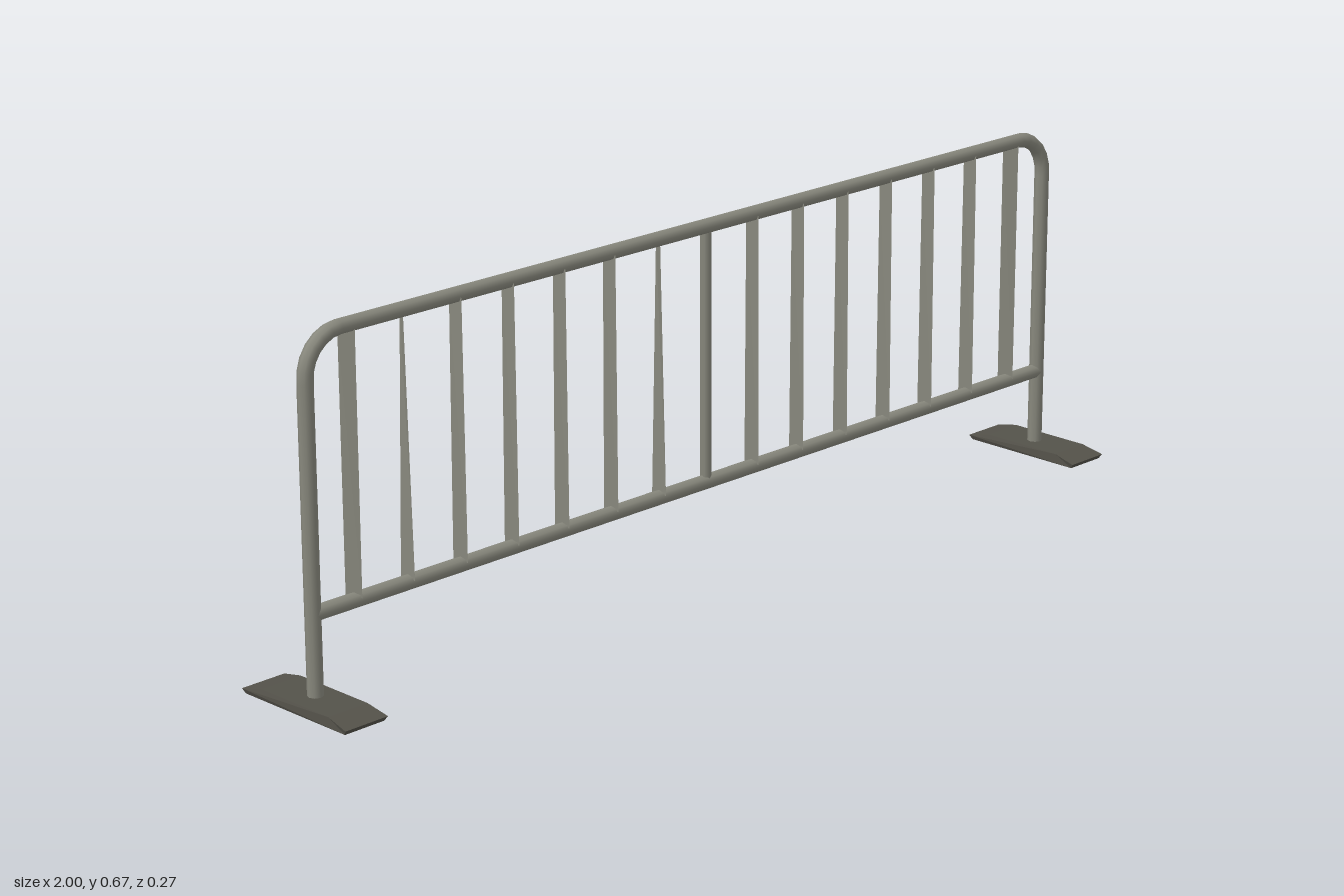
import * as THREE from 'three';

const steel = new THREE.MeshStandardMaterial({ color: 0x88887d });
const steelThin = new THREE.MeshStandardMaterial({ color: 0x88887d, side: THREE.DoubleSide });
const dark = new THREE.MeshStandardMaterial({ color: 0x54524a });

const LEG_X = 0.95, TOP_Y = 0.659, RAIL_Y = 0.168, BEND = 0.075, R = 0.0145;
const BAR_BOTTOM = RAIL_Y + 0.005, BAR_TOP = TOP_Y - 0.003;

function addMesh(group, name, geometry, material) {
  const mesh = new THREE.Mesh(geometry, material);
  mesh.name = name;
  group.add(mesh);
  return mesh;
}

// Thin flat bar, 0.03 wide, twisted from bottomAngle to topAngle about its height
function bladeGeometry(bottomAngle, topAngle) {
  const corner = (angle, half, y) => [Math.cos(angle) * half, y, Math.sin(angle) * half];
  const a = corner(bottomAngle, -0.015, BAR_BOTTOM), b = corner(bottomAngle, 0.015, BAR_BOTTOM);
  const c = corner(topAngle, 0.015, BAR_TOP), d = corner(topAngle, -0.015, BAR_TOP);
  const g = new THREE.BufferGeometry();
  g.setAttribute('position', new THREE.Float32BufferAttribute([a, d, b, b, d, c].flat(), 3));
  g.computeVertexNormals();
  return g;
}

// Plain bars lie almost edge-on to the front; end bars and two bent bars turn further
function barAngles(i) {
  if (Math.abs(i) === 7) return [1.05, 0.95];
  if (i === -6 || i === -1) return [1.35, 2.1];
  return [1.3, 1.52];
}

export function createModel() {
  const model = new THREE.Group();
  model.name = 'crowdBarrier';

  // Bent tube: both legs, rounded corners and top rail
  const v = (x, y) => new THREE.Vector3(x, y, 0);
  const path = new THREE.CurvePath();
  const k = BEND * 0.45;
  path.add(new THREE.LineCurve3(v(-LEG_X, 0.012), v(-LEG_X, TOP_Y - BEND)));
  path.add(new THREE.CubicBezierCurve3(v(-LEG_X, TOP_Y - BEND), v(-LEG_X, TOP_Y - k),
    v(-LEG_X + k, TOP_Y), v(-LEG_X + BEND, TOP_Y)));
  path.add(new THREE.LineCurve3(v(-LEG_X + BEND, TOP_Y), v(LEG_X - BEND, TOP_Y)));
  path.add(new THREE.CubicBezierCurve3(v(LEG_X - BEND, TOP_Y), v(LEG_X - k, TOP_Y),
    v(LEG_X, TOP_Y - k), v(LEG_X, TOP_Y - BEND)));
  path.add(new THREE.LineCurve3(v(LEG_X, TOP_Y - BEND), v(LEG_X, 0.012)));
  addMesh(model, 'frameTube', new THREE.TubeGeometry(path, 150, R, 8), steel);

  // Lower rail
  const rail = addMesh(model, 'lowerRail', new THREE.CylinderGeometry(R, R, LEG_X * 2, 8), steel);
  rail.rotation.z = Math.PI / 2;
  rail.position.y = RAIL_Y;

  // Upright bars: a round one in the middle, flat ones to either side
  const bars = new THREE.Group();
  bars.name = 'uprightBars';
  model.add(bars);
  for (let i = -7; i <= 7; i++) {
    const x = i * 0.1222 - 0.003;
    if (i === 0) {
      const h = BAR_TOP - BAR_BOTTOM;
      const post = addMesh(bars, 'centreBar', new THREE.CylinderGeometry(0.011, 0.011, h, 6), steel);
      post.position.set(x, BAR_BOTTOM + h / 2, 0);
    } else {
      addMesh(bars, 'flatBar', bladeGeometry(...barAngles(i)), steelThin).position.x = x;
    }
  }

  // Flat feet with sloping ends
  const profile = new THREE.Shape([
    [-0.13, 0.002], [0.13, 0.002], [0.136, 0.011], [0.088, 0.022], [-0.088, 0.022], [-0.136, 0.011],
  ].map(([z, y]) => new THREE.Vector2(z, y)));
  for (const side of [-1, 1]) {
    const g = new THREE.ExtrudeGeometry(profile, { depth: 0.094, bevelEnabled: false });
    g.translate(0, -0.002, -0.047);
    g.rotateY(Math.PI / 2);
    // Narrow the top and bottom edges slightly
    const p = g.attributes.position;
    for (let j = 0; j < p.count; j++) {
      if (Math.abs(p.getY(j) - 0.009) > 0.003) p.setX(j, p.getX(j) * 0.92);
    }
    g.computeVertexNormals();
    addMesh(model, side > 0 ? 'leftFoot' : 'rightFoot', g, dark).position.x = side * 0.953;
  }
  return model;
}
